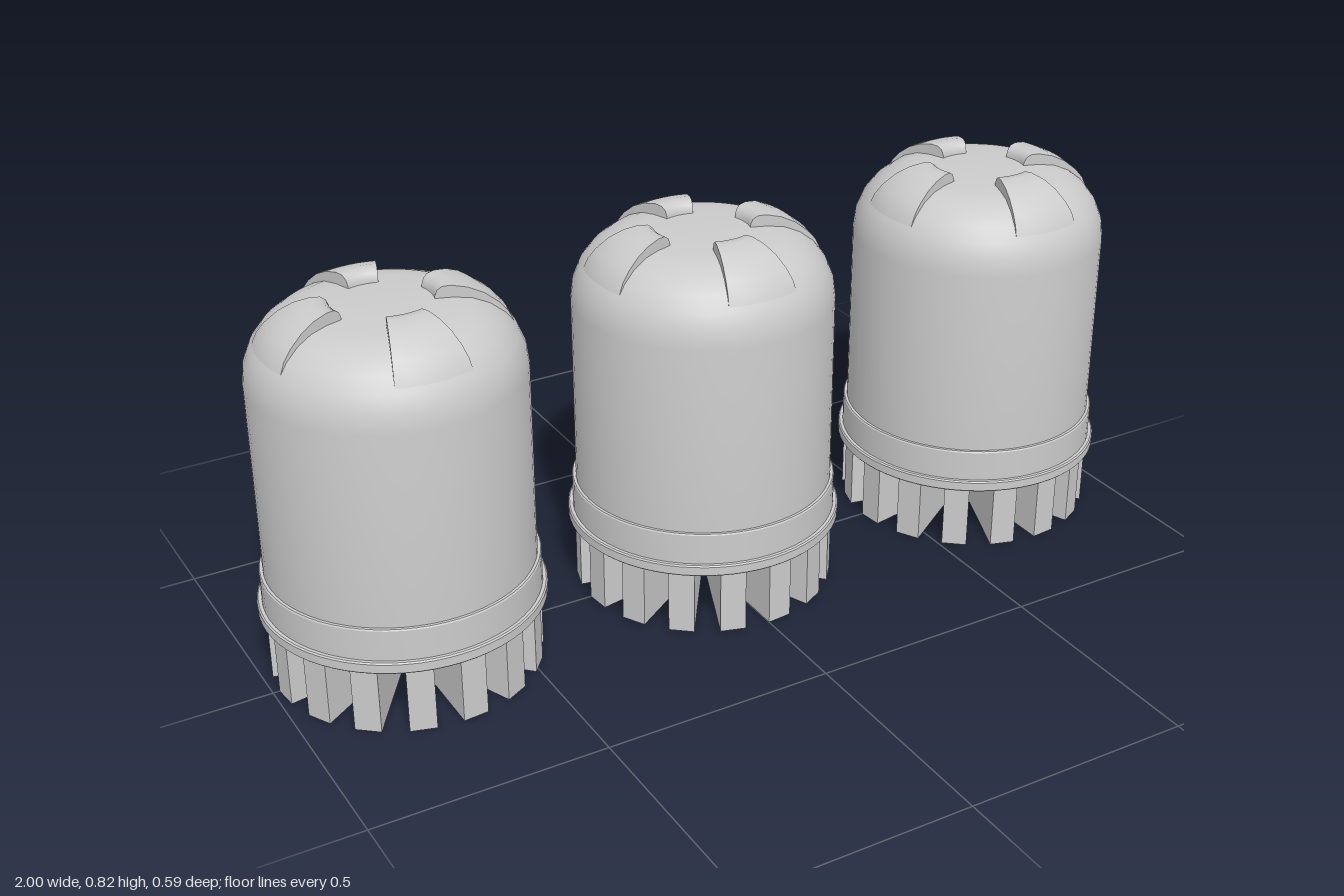
import * as THREE from 'three';
import { toCreasedNormals } from 'three/addons/utils/BufferGeometryUtils.js';

const material = new THREE.MeshStandardMaterial({ color: 0xcccccc, side: THREE.DoubleSide });
const FIN_COUNT = 16, FIN_RADIUS = 0.28, BASE_Y = 0.145;
const SPACING = 0.706;

function part(name, geometry) {
  const mesh = new THREE.Mesh(geometry, material);
  mesh.name = name;
  return mesh;
}

const toVectors = (pairs) => pairs.map(([r, y]) => new THREE.Vector2(r, y));

// Rim, collar, straight wall and rounded shoulder in one turned profile
function bodyGeometry() {
  const profile = [
    [0, BASE_Y], [0.291, BASE_Y], [0.294, 0.148], [0.294, 0.167], [0.291, 0.17],
    [0.284, 0.17], [0.284, 0.237], [0.282, 0.24], [0.276, 0.24],
  ];
  const steps = 6, radius = 0.14;
  for (let i = 0; i <= steps; i++) {
    const a = (i / steps) * Math.PI / 2;
    profile.push([0.136 + radius * Math.cos(a), 0.655 + radius * Math.sin(a)]);
  }
  profile.push([0, 0.795]);
  return toCreasedNormals(new THREE.LatheGeometry(toVectors(profile), 64), 0.5);
}

// Wedge-shaped fin running from the axis to the outer edge
function finGeometry() {
  const angle = Math.PI / FIN_COUNT;
  const shape = new THREE.Shape([
    new THREE.Vector2(0, 0),
    new THREE.Vector2(0, -FIN_RADIUS),
    new THREE.Vector2(FIN_RADIUS * Math.sin(angle), -FIN_RADIUS * Math.cos(angle)),
  ]);
  return new THREE.ExtrudeGeometry(shape, { depth: BASE_Y, bevelEnabled: false }).rotateX(-Math.PI / 2);
}

// Raised grip: a curved section swept through a short arc, closed at both sides
function createGrip() {
  const grip = new THREE.Group();
  grip.name = 'topGrip';
  const section = toVectors([
    [0.22, 0.72], [0.25, 0.735], [0.24, 0.757], [0.223, 0.777], [0.195, 0.799],
    [0.165, 0.813], [0.133, 0.82], [0.115, 0.819], [0.105, 0.812], [0.1, 0.8], [0.1, 0.78],
  ]);
  const half = THREE.MathUtils.degToRad(18.3);
  const sweep = new THREE.LatheGeometry([...section, section[0].clone()], 6, -half, 2 * half);
  grip.add(part('gripSurface', toCreasedNormals(sweep, 0.6)));
  for (const phi of [-half, half]) {
    const cap = new THREE.ShapeGeometry(new THREE.Shape(section));
    grip.add(part('gripSide', cap.rotateY(phi - Math.PI / 2)));
  }
  return grip;
}

function createCanister() {
  const canister = new THREE.Group();
  canister.name = 'canister';
  canister.add(part('body', bodyGeometry()));

  // Shallow hub between the upper halves of the fins
  const hub = part('finHub', new THREE.CylinderGeometry(0.125, 0.125, 0.075, 32));
  hub.position.y = 0.1075;
  canister.add(hub);

  const finGeo = finGeometry();
  for (let i = 0; i < FIN_COUNT; i++) {
    const fin = part('fin', finGeo);
    fin.rotation.y = (i / FIN_COUNT) * Math.PI * 2;
    canister.add(fin);
  }

  for (let i = 0; i < 4; i++) {
    const grip = createGrip();
    grip.rotation.y = i * Math.PI / 2;
    canister.add(grip);
  }
  return canister;
}

export function createModel() {
  const model = new THREE.Group();
  model.name = 'canisterRow';
  for (const i of [-1, 0, 1]) {
    const canister = createCanister();
    canister.position.x = i * SPACING;
    model.add(canister);
  }
  return model;
}
